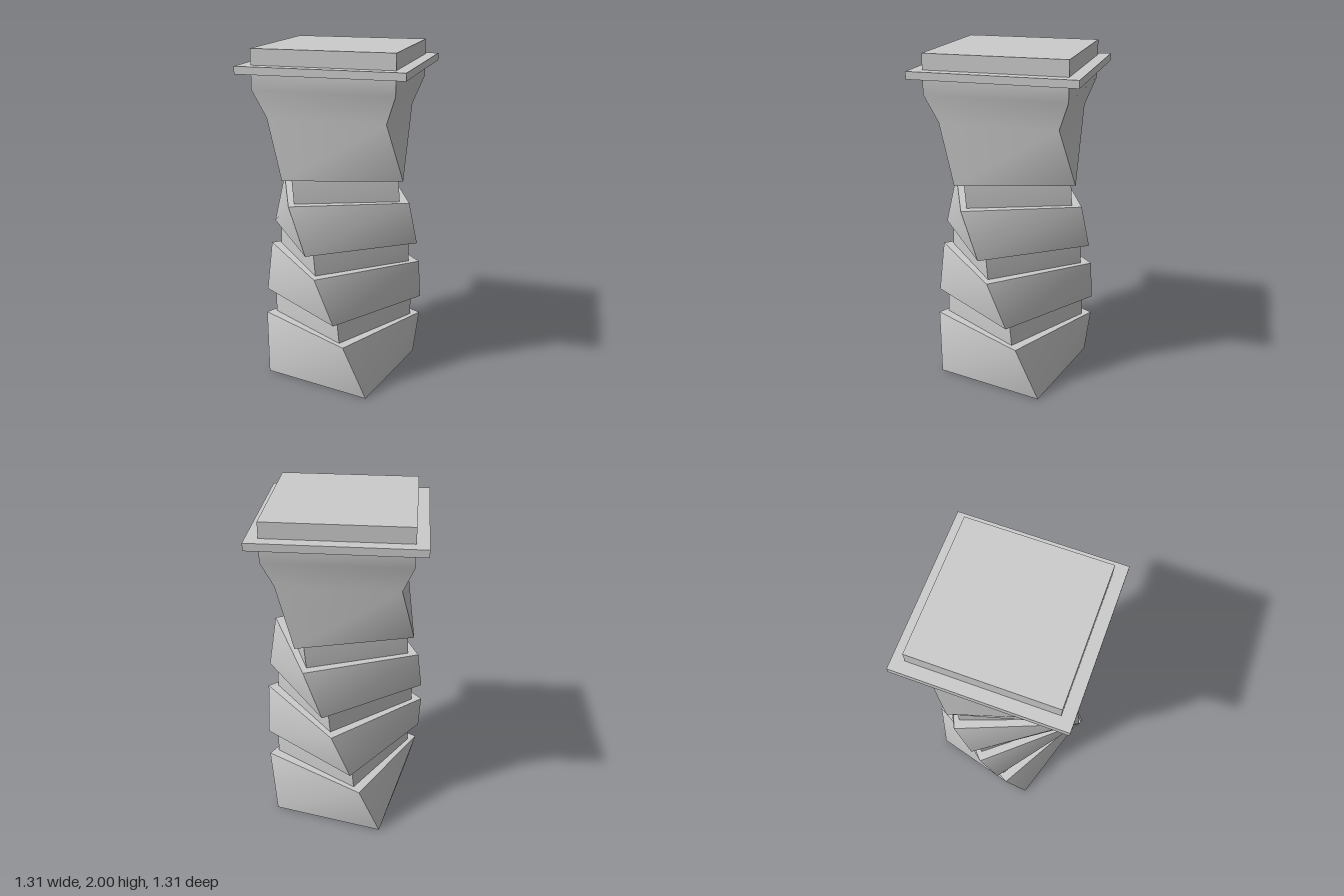
import * as THREE from 'three';

const material = new THREE.MeshStandardMaterial({ color: 0xcccccc, side: THREE.DoubleSide });

// Square column through rings [y, corner radius, turn in degrees], bottom to top.
// Each side is its own smooth strip, so the four corner edges stay sharp.
function twistedBlock(name, rings) {
  const pos = [], index = [];
  const corner = ([y, r, deg], k) => {
    const a = THREE.MathUtils.degToRad(deg + 90 * k);
    pos.push(r * Math.sin(a), y, r * Math.cos(a));
  };
  for (let k = 0; k < 4; k++) {
    const base = pos.length / 3;
    rings.forEach((ring) => { corner(ring, k); corner(ring, k + 1); });
    for (let i = 0; i < rings.length - 1; i++) {
      const bl = base + 2 * i, br = bl + 1, tl = bl + 2, tr = bl + 3;
      index.push(bl, br, tr, bl, tr, tl);
    }
  }
  // End caps
  const b = pos.length / 3;
  for (let k = 0; k < 4; k++) corner(rings[0], k);
  for (let k = 0; k < 4; k++) corner(rings[rings.length - 1], k);
  index.push(b, b + 2, b + 1, b, b + 3, b + 2, b + 4, b + 5, b + 6, b + 4, b + 6, b + 7);

  const geometry = new THREE.BufferGeometry();
  geometry.setAttribute('position', new THREE.Float32BufferAttribute(pos, 3));
  geometry.setIndex(index);
  geometry.computeVertexNormals();
  const mesh = new THREE.Mesh(geometry, material);
  mesh.name = name;
  return mesh;
}

export function createModel() {
  const group = new THREE.Group();
  group.name = 'twistedPillar';

  // The shaft turns steadily with height
  const turn = (y) => -6.4 - 47.8 * y;
  const R = 0.478, NECK = 0.42, TOP = -83.8;

  // Base and the two middle bands
  [['base', 0, 0.34], ['lowerBand', 0.476, 0.748], ['upperBand', 0.88, 1.152]].forEach(([name, y0, y1]) =>
    group.add(twistedBlock(name, [[y0, R, turn(y0)], [y1, R, turn(y1)]])));

  // Recessed necks between them, nearly untwisted
  [['lowerNeck', 0.34, 0.476, -25.5, -27.2], ['middleNeck', 0.748, 0.88, -44.2, -45.8],
    ['upperNeck', 1.152, 1.288, -63, -65]].forEach(([name, y0, y1, a0, a1]) =>
    group.add(twistedBlock(name, [[y0, NECK, a0], [y1, NECK, a1]])));

  // Capital: last twist, then flaring out to a straight head
  group.add(twistedBlock('capital', [
    [1.288, 0.472, turn(1.288)], [1.62, R, TOP], [1.78, 0.562, TOP], [1.89, 0.562, TOP]]));

  // Thin projecting slab and the top block
  group.add(twistedBlock('slab', [[1.87, 0.657, TOP], [1.912, 0.657, TOP]]));
  group.add(twistedBlock('topBlock', [[1.89, 0.562, TOP], [2, 0.562, TOP]]));

  return group;
}
